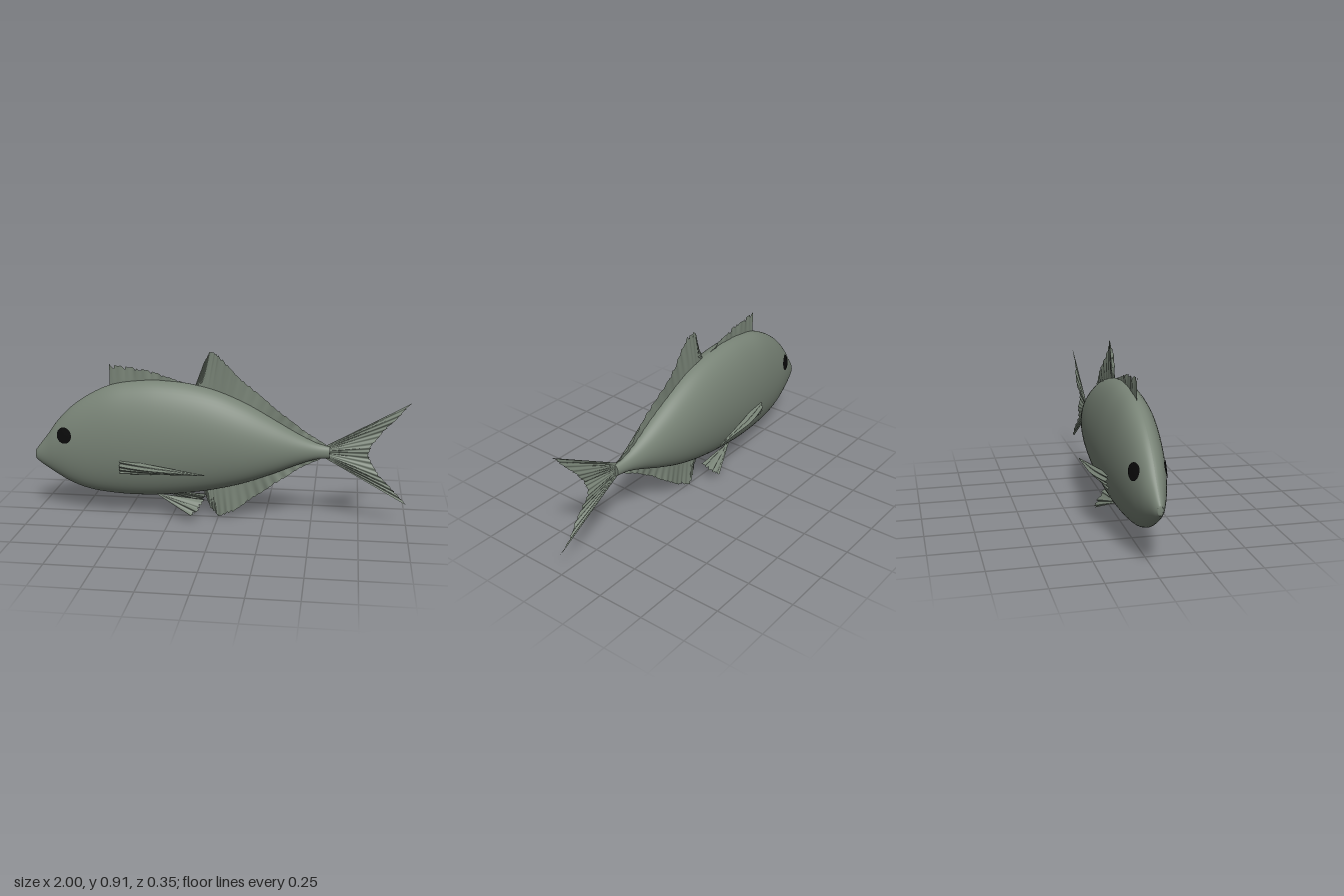
import * as THREE from 'three';

// Body stations: x, top y, bottom y, half width
const STATIONS = [
  [-1, 0.345, 0.295, 0.014], [-0.98, 0.372, 0.277, 0.026], [-0.93, 0.435, 0.243, 0.046],
  [-0.88, 0.505, 0.212, 0.064], [-0.8, 0.588, 0.168, 0.086], [-0.7, 0.66, 0.135, 0.105],
  [-0.58, 0.717, 0.119, 0.121], [-0.45, 0.742, 0.114, 0.132], [-0.32, 0.75, 0.119, 0.138],
  [-0.15, 0.735, 0.138, 0.139], [0, 0.7, 0.166, 0.134], [0.15, 0.637, 0.207, 0.119],
  [0.3, 0.555, 0.264, 0.091], [0.42, 0.486, 0.316, 0.061], [0.52, 0.438, 0.35, 0.034],
  [0.59, 0.42, 0.358, 0.02],
];

// Smooth interpolation of the stations at any x
function section(x) {
  const S = STATIONS, last = S.length - 1;
  let i = 0;
  while (i < last - 1 && x > S[i + 1][0]) i++;
  const h = S[i + 1][0] - S[i][0], t = (x - S[i][0]) / h;
  const slope = (k, c) => {
    const a = S[Math.max(k - 1, 0)], b = S[Math.min(k + 1, last)];
    return (b[c] - a[c]) / (b[0] - a[0]);
  };
  const at = (c) =>
    (2 * t ** 3 - 3 * t ** 2 + 1) * S[i][c] + (t ** 3 - 2 * t ** 2 + t) * h * slope(i, c) +
    (3 * t ** 2 - 2 * t ** 3) * S[i + 1][c] + (t ** 3 - t ** 2) * h * slope(i + 1, c);
  const top = at(1), bottom = at(2);
  return { mid: (top + bottom) / 2, half: (top - bottom) / 2, width: at(3) };
}

// Half thickness of the body at a side point
function sideZ(x, y) {
  const s = section(x);
  return s.width * Math.sqrt(Math.max(0, 1 - ((y - s.mid) / s.half) ** 2));
}

// Grid surface from a function of (u, v)
function grid(nu, nv, point) {
  const pos = [], idx = [];
  for (let i = 0; i <= nu; i++)
    for (let j = 0; j <= nv; j++) pos.push(...point(i / nu, j / nv));
  for (let i = 0; i < nu; i++)
    for (let j = 0; j < nv; j++) {
      const a = i * (nv + 1) + j, b = a + nv + 1;
      idx.push(a, b, a + 1, b, b + 1, a + 1);
    }
  const g = new THREE.BufferGeometry();
  g.setAttribute('position', new THREE.Float32BufferAttribute(pos, 3));
  g.setIndex(idx);
  g.computeVertexNormals();
  return g;
}

// Point along a polyline of [x, y, z]
function along(points, u) {
  const f = u * (points.length - 1), i = Math.min(Math.floor(f), points.length - 2);
  return points[i].map((a, k) => a + (points[i + 1][k] - a) * (f - i));
}

// Rippled fin stretched from a base line to a toothed outer edge
function fin(base, edge, { teeth, notch, ripple, columns = 96 }) {
  return grid(columns, 6, (u, v) => {
    const a = along(base, u), b = along(edge, u);
    const phase = u * teeth;
    const cut = notch * (phase - Math.floor(phase)) * (0.6 + 0.4 * Math.sin(u * 37));
    const reach = v * (1 - cut);
    const p = a.map((c, k) => c + (b[k] - c) * reach);
    p[2] += ripple * v * (Math.sin(u * 19) + 0.5 * Math.sin(u * teeth * 4));
    return p;
  });
}

const flat = (list) => list.map(([x, y]) => [x, y, 0]);

export function createModel() {
  const skin = new THREE.MeshStandardMaterial({ color: 0x788376 });
  skin.name = 'greyGreenSkin';
  skin.side = THREE.DoubleSide;
  const black = new THREE.MeshStandardMaterial({ color: 0x0a0a0a });
  black.name = 'eyeBlack';
  black.side = THREE.DoubleSide;

  const fish = new THREE.Group();
  fish.name = 'fish';
  const add = (name, geometry, material = skin, parent = fish) => {
    const mesh = new THREE.Mesh(geometry, material);
    mesh.name = name;
    parent.add(mesh);
    return mesh;
  };

  // Body: elliptical sections, denser toward the nose
  add('body', grid(80, 56, (u, v) => {
    const x = -1 + 1.59 * Math.pow(u, 1.3), s = section(x), a = v * Math.PI * 2;
    return [x, s.mid + s.half * Math.cos(a), s.width * Math.sin(a)];
  }));

  // Rounded nose tip and flat tail stump
  const nose = add('noseTip', new THREE.SphereGeometry(1, 20, 12));
  nose.scale.set(0.004, 0.025, 0.014);
  nose.position.set(-0.999, 0.32, 0);
  const stump = add('tailStump', new THREE.CircleGeometry(1, 32));
  stump.rotation.y = Math.PI / 2;
  stump.scale.set(0.02, 0.031, 1);
  stump.position.set(0.59, 0.389, 0);

  // Fins on the centre line
  add('spinyDorsalFin', fin(
    flat([[-0.58, 0.68], [-0.48, 0.71], [-0.38, 0.72], [-0.28, 0.72], [-0.18, 0.71]]),
    flat([[-0.58, 0.83], [-0.48, 0.82], [-0.38, 0.805], [-0.28, 0.775], [-0.18, 0.74]]),
    { teeth: 14, notch: 0.2, ripple: 0.004 }));
  add('softDorsalFin', fin(
    flat([[-0.13, 0.7], [-0.11, 0.7], [-0.09, 0.69], [-0.03, 0.68], [0.07, 0.64], [0.18, 0.59],
      [0.3, 0.52], [0.42, 0.45], [0.54, 0.4]]),
    flat([[-0.12, 0.73], [-0.075, 0.85], [-0.045, 0.912], [0.005, 0.893], [0.1, 0.785], [0.22, 0.685],
      [0.34, 0.59], [0.46, 0.497], [0.57, 0.43]]),
    { teeth: 30, notch: 0.08, ripple: 0.006, columns: 150 }));
  add('analFin', fin(
    flat([[-0.08, 0.19], [-0.06, 0.2], [-0.02, 0.2], [0.06, 0.22], [0.15, 0.25], [0.25, 0.29],
      [0.37, 0.34], [0.5, 0.38]]),
    flat([[-0.075, 0.14], [-0.04, 0.05], [0, 0], [0.08, 0.035], [0.19, 0.115], [0.3, 0.2],
      [0.42, 0.285], [0.54, 0.35]]),
    { teeth: 26, notch: 0.08, ripple: 0.006, columns: 150 }));
  add('tailFin', fin(
    flat([[0.56, 0.42], [0.56, 0.389], [0.56, 0.36]]),
    flat([[1, 0.667], [0.93, 0.585], [0.86, 0.505], [0.81, 0.44], [0.79, 0.39],
      [0.81, 0.335], [0.86, 0.265], [0.93, 0.19], [1, 0.115]]),
    { teeth: 24, notch: 0.05, ripple: 0.006, columns: 144 }));

  // Paired parts on both flanks
  for (const [label, side] of [['left', 1], ['right', -1]]) {
    const flank = new THREE.Group();
    flank.name = label + 'Flank';
    fish.add(flank);

    // Pectoral fin: pleated blade narrowing toward its rear point
    add(label + 'PectoralFin', grid(24, 32, (u, v) => {
      const fold = 1 - Math.abs(2 * v - 1), taper = 1 - 0.95 * u;
      const bulge = 0.045 * Math.sin(Math.min(1, u * 2) * Math.PI / 2);
      const z = 0.118 + 0.02 * u + bulge * (fold * taper + u * 0.75) +
        0.014 * fold * taper + 0.006 * Math.sin(v * 25) * taper;
      return [-0.51 + 0.46 * u, 0.303 - 0.013 * u + (v - 0.5) * 0.085 * taper, side * z];
    }), skin, flank);

    // Pelvic fin: small fan splayed below the belly
    add(label + 'PelvicFin', fin(
      [[-0.33, 0.13, 0.035 * side], [-0.3, 0.13, 0.035 * side]],
      [[-0.13, 0.038, 0.112 * side], [-0.095, 0.065, 0.088 * side], [-0.065, 0.115, 0.042 * side]],
      { teeth: 8, notch: 0.08, ripple: 0.005, columns: 48 }), skin, flank);

    // Eye: disc laid on the curved cheek
    add(label + 'Eye', grid(4, 28, (u, v) => {
      const a = v * Math.PI * 2, r = 0.043 * u;
      const x = -0.82 + r * Math.cos(a), y = 0.45 + r * Math.sin(a);
      return [x, y, side * (sideZ(x, y) + 0.004)];
    }), black, flank);
  }
  return fish;
}
